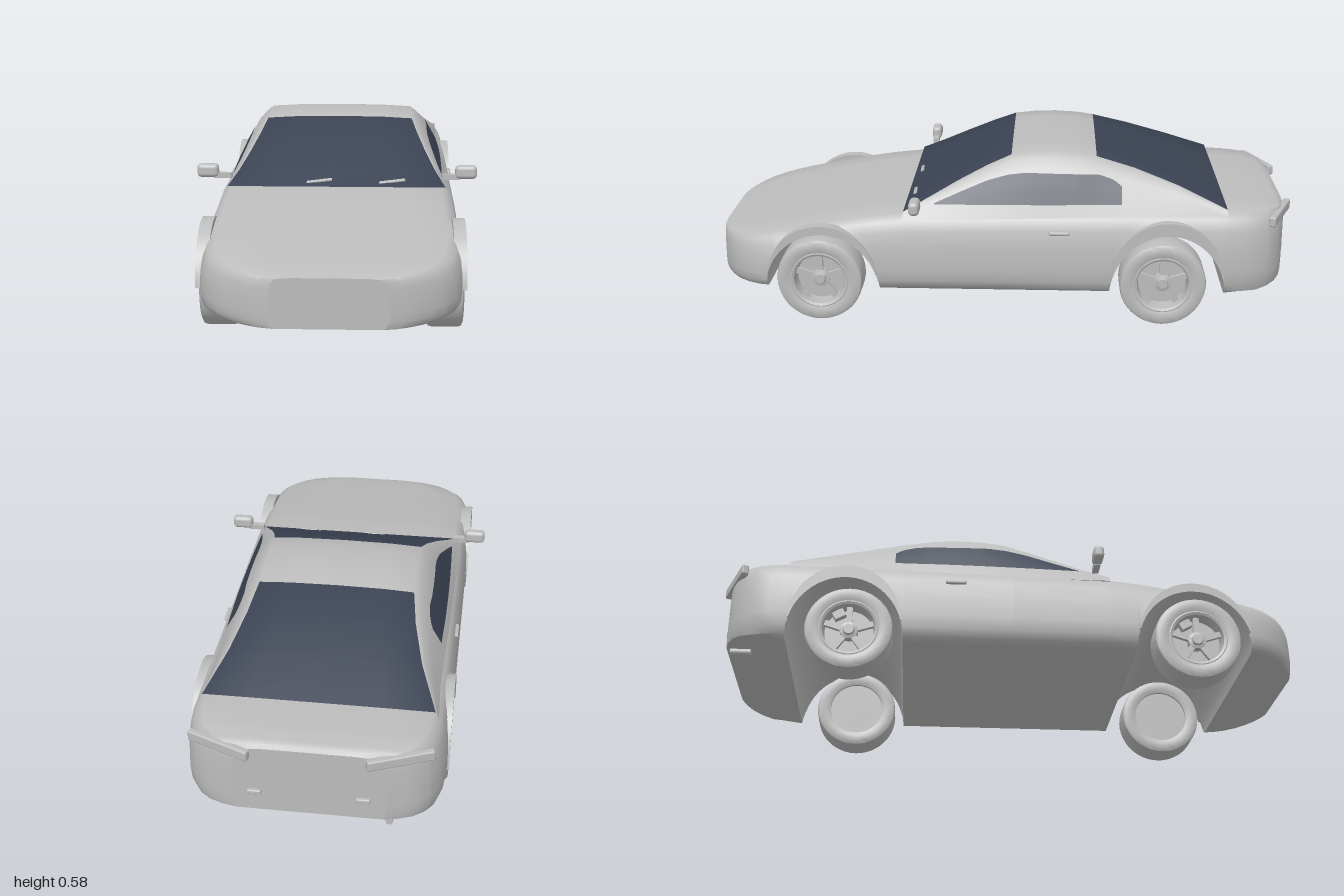
import * as THREE from 'three';
import { toCreasedNormals } from 'three/addons/utils/BufferGeometryUtils.js';
import { RoundedBoxGeometry } from 'three/addons/geometries/RoundedBoxGeometry.js';

const paint = new THREE.MeshStandardMaterial({ color: 0xbcbcbc });
paint.name = 'silver paint';
const glass = new THREE.MeshStandardMaterial({ color: 0x3a4252 });
glass.name = 'dark glass';

// Linear lookup in a table of [z, value] with z falling
function lookup(table, z) {
  for (let i = 1; i < table.length; i++) {
    const [z0, v0] = table[i - 1], [z1, v1] = table[i];
    if (z >= z1) return v0 + (v1 - v0) * Math.max(0, (z0 - z) / (z0 - z1));
  }
  return table[table.length - 1][1];
}

// Closes a half section (bottom centre to top centre) into a symmetric ring
const ringOf = half => half.concat(half.slice(1, -1).reverse().map(([x, y]) => [-x, y]));

// Skins rings from front to back; isGlass picks the faces of the second material
function loft(stations, section, isGlass = () => false) {
  const rings = stations.map(z => ringOf(section(z)));
  const n = rings[0].length, faces = [[], []];
  const pos = rings.flatMap((r, i) => r.flatMap(([x, y]) => [x, y, stations[i]]));
  for (let i = 0; i < stations.length - 1; i++) for (let j = 0; j < n; j++) {
    const k = (j + 1) % n, a = i * n + j, b = i * n + k, c = a + n, d = b + n;
    faces[isGlass(i, j) ? 1 : 0].push(a, c, b, b, c, d);
  }
  const g = new THREE.BufferGeometry();
  g.setAttribute('position', new THREE.Float32BufferAttribute(pos, 3));
  g.setIndex(faces.flat());
  g.addGroup(0, faces[0].length, 0);
  g.addGroup(faces[0].length, faces[1].length, 1);
  return toCreasedNormals(g, 0.75);
}

const BASE = 0.11;
const arches = [{ z: 0.615, half: 0.195, h: 0.207, lip: 0.028 }, { z: -0.565, half: 0.195, h: 0.22, lip: 0.042 }];
const widths = [[1, 0.18], [0.99, 0.225], [0.975, 0.26], [0.95, 0.305], [0.92, 0.345], [0.88, 0.378], [0.84, 0.398],
  [0.78, 0.411], [0.7, 0.416], [-0.75, 0.416], [-0.82, 0.41], [-0.87, 0.396], [-0.91, 0.37], [-0.94, 0.335], [-0.96, 0.29], [-0.972, 0.24]];
const tops = [[1, 0.267], [0.95, 0.28], [0.8, 0.308], [0.6, 0.348], [0.45, 0.373], [0.33, 0.386], [0, 0.395], [-0.5, 0.405],
  [-0.76, 0.408], [-0.9, 0.405], [-0.95, 0.398], [-0.972, 0.385]];
// Fractions of half width and of height up the body side
const sideProfile = [[0.91, 0], [0.96, 0.05], [0.99, 0.15], [1, 0.3], [0.99, 0.58], [0.968, 0.78], [0.935, 0.91], [0.87, 0.98], [0.6, 1], [0, 1]];

function floorAt(z) {
  for (const a of arches) {
    const u = (z - a.z) / a.half;
    if (Math.abs(u) < 1) return BASE + a.h * Math.sqrt(1 - u * u);
  }
  return z < -0.78 ? BASE + (-0.78 - z) * 0.16 : BASE;
}

function bodySection(z) {
  const w = lookup(widths, z), top = lookup(tops, z), floor = floorAt(z);
  return [[0, floor], ...sideProfile.map(([fx, fy]) => [w * fx, Math.max(floor, BASE + (top - BASE) * fy)])];
}

// Greenhouse outline: roof height and roof edge along the car
const roof = [[0.335, 0.388], [0.25, 0.432], [0.15, 0.486], [0.05, 0.536], [-0.03, 0.57], [-0.1, 0.579], [-0.18, 0.582],
  [-0.26, 0.577], [-0.32, 0.567], [-0.45, 0.531], [-0.6, 0.478], [-0.76, 0.411]];
const edge = [[0.335, 0.372], [0.25, 0.338], [0.15, 0.305], [0.05, 0.278], [-0.03, 0.262], [-0.18, 0.26], [-0.32, 0.262],
  [-0.45, 0.279], [-0.6, 0.313], [-0.76, 0.37]];

function cabinSection(z) {
  const t = lookup(roof, z), e = lookup(edge, z), k = (t - 0.385) / 0.19;
  const sill = [0.389, 0.365], rim = [e, t - 0.008 * k];
  const side = [[0.75, 0.007], [0.5, 0.012], [0.27, 0.015], [0.1, 0.009]].map(([s, bulge]) =>
    [rim[0] + (sill[0] - rim[0]) * s + bulge * k, rim[1] + (sill[1] - rim[1]) * s + bulge * k * 0.5]);
  return [[0, 0.36], sill, ...side, rim, [e * 0.6, t - 0.002 * k], [0, t]];
}

function cabinSideX(z, y) {
  const side = cabinSection(z).slice(1, 7);
  for (let i = 1; i < side.length; i++) {
    const [x0, y0] = side[i - 1], [x1, y1] = side[i];
    if (y <= y1) return x0 + (x1 - x0) * (y - y0) / (y1 - y0);
  }
  return side[5][0];
}

// Side glass: a thin sheet that follows the cabin side
function sideWindow(s) {
  const topLine = [[0.23, 0.416], [0.15, 0.449], [0.05, 0.489], [-0.02, 0.508], [-0.08, 0.515], [-0.33, 0.511], [-0.38, 0.495], [-0.405, 0.475]];
  const cols = 40, rows = 6;
  const g = new THREE.PlaneGeometry(1, 1, cols, rows), p = g.attributes.position;
  for (let i = 0; i < p.count; i++) {
    const u = p.getX(i) + 0.5, v = p.getY(i) + 0.5;
    const z = s > 0 ? 0.23 - 0.635 * u : -0.405 + 0.635 * u;
    const low = 0.413 + (0.23 - z) * 0.012;
    const y = low + (Math.max(low, lookup(topLine, z)) - low) * v;
    p.setXYZ(i, s * (cabinSideX(z, y) + 0.004), y, z);
  }
  g.computeVertexNormals();
  return g;
}

// Tapered crescent over a wheel arch
function archFlare(a) {
  const inner = [], outer = [];
  for (let i = 0; i <= 28; i++) {
    const t = 0.3 + (Math.PI - 0.6) * i / 28, r = a.lip * Math.sin((t - 0.3) / (Math.PI - 0.6) * Math.PI) + 0.003;
    inner.push(new THREE.Vector2(a.z + a.half * Math.cos(t), BASE + a.h * Math.sin(t)));
    outer.push(new THREE.Vector2(a.z + (a.half + r) * Math.cos(t), BASE + (a.h + r) * Math.sin(t)));
  }
  const g = new THREE.ExtrudeGeometry(new THREE.Shape(inner.concat(outer.reverse())), { depth: 0.04, bevelEnabled: false });
  g.rotateY(-Math.PI / 2).translate(0.02, 0, 0);
  return toCreasedNormals(g, 0.6);
}

// Solid of revolution about x from [radius, x] points
function turned(points) {
  const g = new THREE.LatheGeometry(points.map(p => new THREE.Vector2(...p)), 48);
  return toCreasedNormals(g.rotateZ(-Math.PI / 2), 0.6);
}

export function createModel() {
  const model = new THREE.Group();
  model.name = 'coupe';
  const add = (name, geometry, x = 0, y = 0, z = 0, parent = model, material = paint) => {
    const m = new THREE.Mesh(geometry, material);
    m.name = name;
    m.position.set(x, y, z);
    parent.add(m);
    return m;
  };

  // Lower body with the arches cut through, stations closest at arches and corners
  const stations = new Set([...widths, ...tops].map(p => p[0]).filter(z => !arches.some(a => Math.abs(z - a.z) <= a.half)));
  for (const a of arches) for (let i = 0; i <= 28; i++) stations.add(a.z + a.half * Math.cos(Math.PI * i / 28));
  const zs = [...stations].sort((a, b) => b - a);
  add('lowerBody', loft(zs, bodySection), 0, 0, 0, model, [paint, glass]);
  const endCap = z => new THREE.ShapeGeometry(new THREE.Shape(ringOf(bodySection(z)).map(p => new THREE.Vector2(...p))));
  add('nosePanel', endCap(1), 0, 0, 1);
  add('tailPanel', endCap(-0.972).rotateY(Math.PI), 0, 0, -0.972);

  // Cabin with windscreen and rear window as glass faces
  const cabinZ = [...new Set([...roof, ...edge].map(p => p[0]))].sort((a, b) => b - a);
  const isGlass = (i, j) => j >= 6 && j <= 9 && (cabinZ[i + 1] >= -0.031 || cabinZ[i] <= -0.319);
  add('cabin', loft(cabinZ, cabinSection, isGlass), 0, 0, 0, model, [paint, glass]);

  // Wheels
  const tyre = turned([[0.098, -0.052], [0.112, -0.057], [0.135, -0.057], [0.144, -0.052], [0.147, -0.042], [0.147, 0.042],
    [0.144, 0.052], [0.135, 0.057], [0.112, 0.057], [0.098, 0.052], [0.096, 0.03], [0.096, -0.03], [0.098, -0.052]]);
  const rim = turned([[0, -0.045], [0.099, -0.045], [0.102, 0.052], [0.096, 0.054], [0.088, 0.05], [0.082, 0.005], [0, 0.005]]);
  const hub = turned([[0.03, 0], [0.03, 0.032], [0.02, 0.035], [0.017, 0.042], [0, 0.042]]);
  const spoke = new THREE.BoxGeometry(0.014, 0.066, 0.02).translate(0.024, 0.054, 0);
  function wheel(name, s, z) {
    const w = new THREE.Group();
    w.name = name;
    w.position.set(s * 0.358, 0.148, z);
    w.rotation.y = s > 0 ? 0 : Math.PI;
    add('tyre', tyre, 0, 0, 0, w);
    add('rim', rim, 0, 0, 0, w);
    add('hub', hub, 0, 0, 0, w);
    for (let i = 0; i < 5; i++) add('spoke', spoke, 0, 0, 0, w).rotation.x = i * Math.PI * 0.4;
    add('brakeCaliper', new THREE.BoxGeometry(0.03, 0.03, 0.04), 0.014, 0.062, -0.036 * s, w).rotation.x = -0.5 * s;
    model.add(w);
  }

  for (const s of [1, -1]) {
    const side = s > 0 ? 'left' : 'right';
    wheel(side + 'FrontWheel', s, 0.625);
    wheel(side + 'RearWheel', s, -0.55);
    for (const a of arches) add(side + 'ArchFlare', archFlare(a), s * 0.401, 0, 0);
    add(side + 'SideWindow', sideWindow(s), 0, 0, 0, model, glass);
    // Mirrors and door handles
    add(side + 'Mirror', new RoundedBoxGeometry(0.074, 0.046, 0.036, 3, 0.014), s * 0.443, 0.433, 0.288);
    add(side + 'MirrorArm', new THREE.BoxGeometry(0.06, 0.018, 0.022), s * 0.392, 0.416, 0.288);
    add(side + 'DoorHandle', new RoundedBoxGeometry(0.014, 0.013, 0.07, 2, 0.005), s * 0.408, 0.33, -0.195);
    // Tail lamps and small lower lamps
    add(side + 'TailLamp', new RoundedBoxGeometry(0.215, 0.036, 0.024, 2, 0.006), s * 0.28, 0.37, -0.95).rotation.y = -s * 0.39;
    add(side + 'RearReflector', new RoundedBoxGeometry(0.045, 0.016, 0.016, 2, 0.004), s * 0.17, 0.215, -0.975);
    // Wipers, mostly sunk into the windscreen
    add(side + 'Wiper', new THREE.BoxGeometry(0.1, 0.004, 0.012), s > 0 ? 0.185 : -0.065, 0.402, 0.31).rotation.set(0.46, 0.1, 0.08);
  }

  // Exhaust
  const pipe = new THREE.CylinderGeometry(0.012, 0.012, 0.07, 20).rotateX(Math.PI / 2);
  add('exhaustPipe', pipe, -0.25, 0.118, -0.92);
  return model;
}
